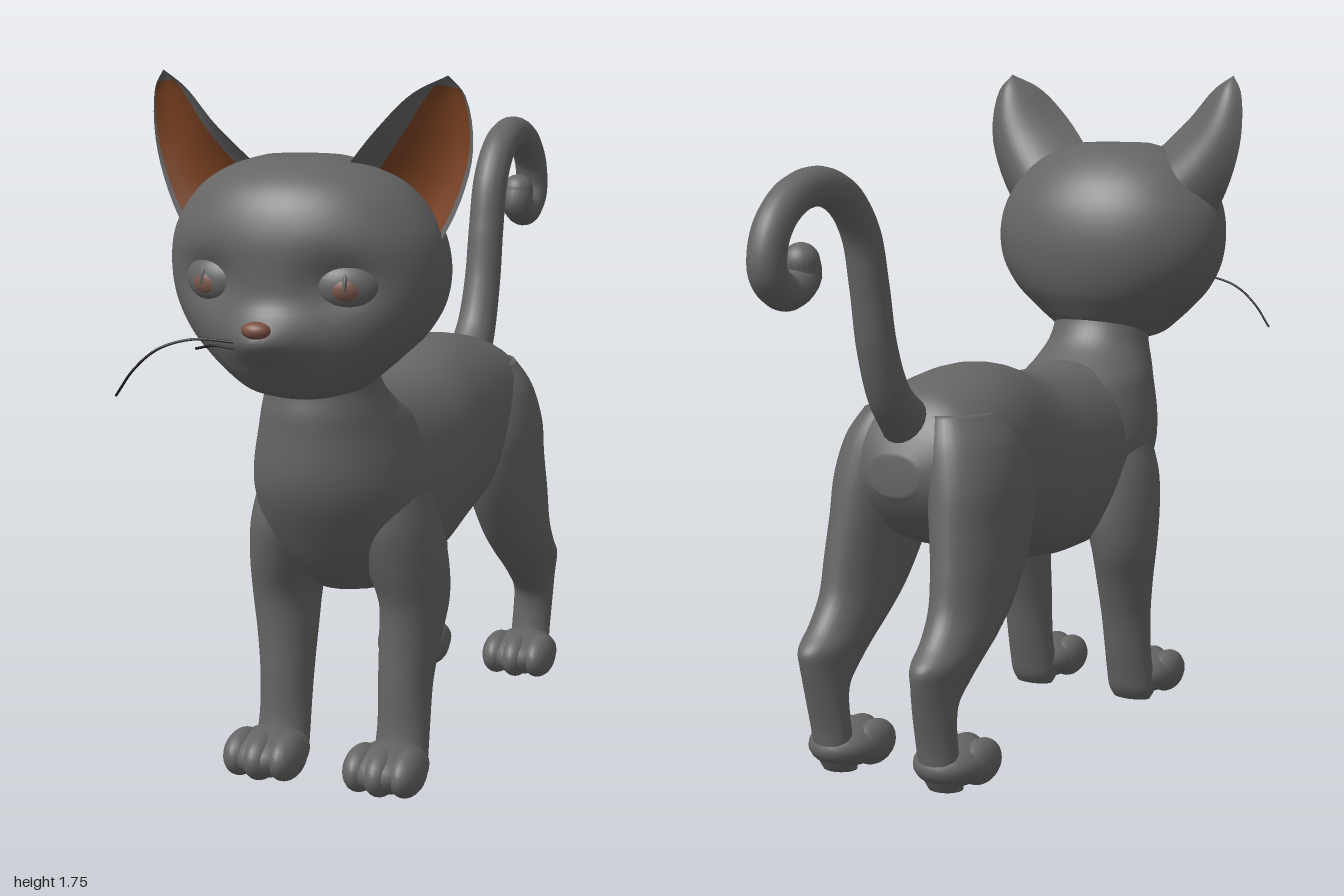
import * as THREE from 'three';

const mat = (name, color, side = THREE.FrontSide) => {
  const m = new THREE.MeshStandardMaterial({ color, side });
  m.name = name;
  return m;
};

// Builds an indexed smooth geometry from flat positions and indices
function build(positions, index) {
  const g = new THREE.BufferGeometry();
  g.setAttribute('position', new THREE.Float32BufferAttribute(positions, 3));
  g.setIndex(index);
  g.computeVertexNormals();
  return g;
}

// Smooth interpolation through rows of numbers
function smoothRows(rows, steps) {
  const out = [], last = rows.length - 1;
  for (let i = 0; i < last; i++) {
    const [a, b, c, d] = [rows[Math.max(i - 1, 0)], rows[i], rows[i + 1], rows[Math.min(i + 2, last)]];
    for (let s = 0; s < steps; s++) {
      const t = s / steps;
      out.push(b.map((v, k) => v + 0.5 * t * (c[k] - a[k] + t * (2 * a[k] - 5 * v + 4 * c[k] - d[k]
        + t * (3 * (v - c[k]) + d[k] - a[k])))));
    }
  }
  out.push(rows[last]);
  return out;
}

// Loft of rounded slices. Each slice: [position, x centre, x radius, low, high].
// Along y (ascending) low/high are z; along z (descending) they are y.
function loft(slices, { alongZ = false, power = 2, sides = 40, warp } = {}) {
  const rows = smoothRows(slices, 6), pos = [], index = [];
  const add = (s, x, h) => {
    const p = alongZ ? new THREE.Vector3(x, h, s) : new THREE.Vector3(x, s, h);
    if (warp) warp(p);
    pos.push(p.x, p.y, p.z);
  };
  const round = v => Math.sign(v) * Math.abs(v) ** (2 / power);
  for (const [s, xc, rx, lo, hi] of rows)
    for (let j = 0; j < sides; j++) {
      const a = j / sides * Math.PI * 2;
      add(s, xc + rx * round(Math.cos(a)), (lo + hi) / 2 + (hi - lo) / 2 * round(Math.sin(a)));
    }
  const n = rows.length;
  for (const r of [rows[0], rows[n - 1]]) add(r[0], r[1], (r[3] + r[4]) / 2);
  for (let j = 0; j < sides; j++) {
    const k = (j + 1) % sides;
    for (let i = 0; i < n - 1; i++) {
      const a = i * sides + j, b = i * sides + k;
      index.push(a, a + sides, b, b, a + sides, b + sides);
    }
    index.push(n * sides, j, k, n * sides + 1, (n - 1) * sides + k, (n - 1) * sides + j);
  }
  return build(pos, index);
}

// Surface patch from a function of u and v
function patch(fn, [u0, u1], [v0, v1], flip, n = 16) {
  const pos = [], index = [];
  for (let i = 0; i <= n; i++)
    for (let j = 0; j <= n; j++) pos.push(...fn(u0 + (u1 - u0) * j / n, v0 + (v1 - v0) * i / n));
  for (let i = 0; i < n; i++)
    for (let j = 0; j < n; j++) {
      const a = i * (n + 1) + j, b = a + 1, c = a + n + 1, d = c + 1;
      index.push(...(flip ? [a, c, b, b, c, d] : [a, b, c, b, d, c]));
    }
  return build(pos, index);
}

const curve = pts => new THREE.CatmullRomCurve3(pts.map(p => new THREE.Vector3(...p)));

export function createModel() {
  const cat = new THREE.Group();
  cat.name = 'cat';
  const fur = mat('grey fur', 0x656566);
  const innerEar = mat('inner ear brown', 0x7d4322);
  const irisMat = mat('iris brown', 0x7c5a4e);
  const noseMat = mat('nose brown', 0x7a5042);
  const whiskerMat = mat('whisker black', 0x1c1c1c);

  const add = (name, geometry, material = fur, parent = cat) => {
    const m = new THREE.Mesh(geometry, material);
    m.name = name;
    parent.add(m);
    return m;
  };
  const blob = (name, [x, y, z], [rx, ry, rz], material, parent) => {
    const m = add(name, new THREE.SphereGeometry(1, 24, 16), material, parent);
    m.position.set(x, y, z);
    m.scale.set(rx, ry, rz);
    return m;
  };

  // Torso, chest to rump
  add('torso', loft([
    [0.62, 0, 0.12, 0.62, 0.85], [0.55, 0, 0.175, 0.53, 0.93], [0.45, 0, 0.195, 0.46, 0.965],
    [0.3, 0, 0.2, 0.445, 0.957], [0.15, 0, 0.2, 0.455, 0.965], [0, 0, 0.2, 0.49, 1.005],
    [-0.12, 0, 0.21, 0.53, 1.013], [-0.25, 0, 0.215, 0.56, 0.995], [-0.35, 0, 0.2, 0.6, 0.965],
    [-0.41, 0, 0.16, 0.66, 0.9], [-0.45, 0, 0.07, 0.72, 0.82],
  ], { alongZ: true, power: 2.2 }));

  // Chest and neck
  add('neck', loft([
    [0.48, 0, 0.08, 0.38, 0.53], [0.54, 0, 0.14, 0.33, 0.6], [0.62, 0, 0.19, 0.28, 0.66],
    [0.72, 0, 0.21, 0.25, 0.72], [0.8, 0, 0.205, 0.25, 0.745], [0.9, 0, 0.18, 0.3, 0.748],
    [0.95, 0, 0.16, 0.38, 0.748], [1.0, 0, 0.142, 0.45, 0.74], [1.05, 0, 0.135, 0.485, 0.74],
    [1.1, 0, 0.13, 0.5, 0.72],
  ]));

  // Head with muzzle swelling and eye sockets
  const bump = (x, y, sx, sy) => Math.exp(-((x / sx) ** 2) - (y / sy) ** 2);
  add('head', loft([
    [1.0, 0, 0.08, 0.62, 0.78], [1.02, 0, 0.14, 0.55, 0.84], [1.06, 0, 0.19, 0.5, 0.885],
    [1.1, 0, 0.235, 0.47, 0.905], [1.15, 0, 0.285, 0.44, 0.915], [1.22, 0, 0.325, 0.42, 0.92],
    [1.3, 0, 0.338, 0.415, 0.925], [1.38, 0, 0.325, 0.43, 0.925], [1.45, 0, 0.285, 0.465, 0.905],
    [1.5, 0, 0.235, 0.51, 0.87], [1.535, 0, 0.17, 0.56, 0.82], [1.555, 0, 0.1, 0.62, 0.77],
  ], {
    sides: 96, warp: p => {
      if (p.z < 0.7) return;
      const front = Math.min((p.z - 0.7) / 0.12, 1);
      p.z += front * (0.07 * bump(p.x, p.y - 1.16, 0.09, 0.055)
        - 0.035 * bump(Math.abs(p.x) - 0.165, p.y - 1.285, 0.08, 0.06));
    },
  }));
  blob('nose', [0, 1.19, 0.975], [0.035, 0.02, 0.024], noseMat);

  // Tail with a curled tip, thicker at the root
  const tailPath = curve([
    [0, 0.87, -0.36], [0, 0.97, -0.46], [0, 1.1, -0.515], [0, 1.25, -0.545], [0, 1.38, -0.58],
    [0, 1.465, -0.65], [0, 1.5, -0.75], [0, 1.475, -0.86], [0, 1.4, -0.935], [0, 1.31, -0.945],
    [0, 1.265, -0.88], [0, 1.295, -0.815], [0, 1.33, -0.82],
  ]);
  const tail = new THREE.TubeGeometry(tailPath, 120, 0.05, 20);
  const tp = tail.attributes.position, v = new THREE.Vector3();
  for (let i = 0; i < tp.count; i++) {
    const t = Math.floor(i / 21) / 120, c = tailPath.getPointAt(t);
    v.fromBufferAttribute(tp, i).sub(c).multiplyScalar(1 + 0.5 * Math.exp(-t * 14) - 0.1 * t).add(c);
    tp.setXYZ(i, v.x, v.y, v.z);
  }
  add('tail', tail);
  blob('tailTip', [0, 1.33, -0.82], [0.045, 0.045, 0.045], fur);

  const frontLeg = [
    [0, 0.16, 0.055, 0.485, 0.55], [0.03, 0.16, 0.068, 0.465, 0.57], [0.08, 0.16, 0.068, 0.45, 0.56],
    [0.15, 0.16, 0.066, 0.43, 0.55], [0.25, 0.16, 0.068, 0.405, 0.55], [0.35, 0.165, 0.075, 0.37, 0.55],
    [0.45, 0.17, 0.083, 0.33, 0.56], [0.55, 0.155, 0.095, 0.315, 0.595], [0.65, 0.135, 0.1, 0.33, 0.62],
    [0.75, 0.115, 0.09, 0.37, 0.61],
  ];
  const hindLeg = [
    [0, 0.16, 0.045, -0.5, -0.42], [0.05, 0.16, 0.055, -0.53, -0.43], [0.12, 0.16, 0.055, -0.545, -0.455],
    [0.22, 0.163, 0.055, -0.575, -0.45], [0.28, 0.166, 0.06, -0.593, -0.385], [0.33, 0.168, 0.068, -0.597, -0.32],
    [0.38, 0.168, 0.075, -0.545, -0.26], [0.45, 0.165, 0.083, -0.5, -0.19], [0.55, 0.16, 0.092, -0.48, -0.12],
    [0.65, 0.15, 0.1, -0.465, -0.08], [0.75, 0.14, 0.108, -0.45, -0.08], [0.85, 0.12, 0.1, -0.425, -0.11],
    [0.92, 0.1, 0.07, -0.39, -0.16],
  ];

  for (const side of [1, -1]) {
    const label = side > 0 ? 'left' : 'right';

    // Legs and paws
    for (const [name, slices, z] of [['FrontLeg', frontLeg, 0.585], ['HindLeg', hindLeg, -0.425]]) {
      const leg = new THREE.Group();
      leg.name = label + name;
      cat.add(leg);
      add('leg', loft(slices.map(([y, x, ...r]) => [y, x * side, ...r])), fur, leg);
      blob('paw', [0.16 * side, 0.062, z], [0.095, 0.06, 0.115], fur, leg);
      for (const dx of [-0.06, 0, 0.06])
        blob('toe', [0.16 * side + dx, 0.062, z + 0.045 - Math.abs(dx) * 0.25], [0.042, 0.058, 0.078], fur, leg);
    }

    // Ear: cupped shell between an inner and an outer edge
    const ear = new THREE.Group();
    ear.name = label + 'Ear';
    cat.add(ear);
    const inner = curve([[0.1, 1.52, 0.72], [0.2, 1.625, 0.755], [0.28, 1.705, 0.74], [0.355, 1.745, 0.71]]);
    const outer = curve([[0.3, 1.32, 0.68], [0.37, 1.46, 0.67], [0.4, 1.58, 0.67], [0.388, 1.7, 0.69], [0.355, 1.745, 0.71]]);
    const earPoint = (depth, lift) => (u, t) => {
      const p = inner.getPoint(t).lerp(outer.getPoint(t), u);
      const cup = 4 * u * (1 - u) * depth * (1 - t) ** 0.8;
      return [side * p.x, p.y, p.z - cup + lift];
    };
    add('earBack', patch(earPoint(0.12, 0), [0, 1], [0, 1], side > 0), fur, ear);
    add('earFront', patch(earPoint(0.07, 0), [0, 1], [0, 1], side < 0), fur, ear);
    add('earLining', patch(earPoint(0.07, 0.005), [0.2, 0.95], [0, 0.82], side < 0), innerEar, ear);

    // Eye: lids, iris and slit
    const eye = new THREE.Group();
    eye.name = label + 'Eye';
    eye.position.set(0.163 * side, 1.282, 0.842);
    eye.rotation.y = 0.3 * side;
    cat.add(eye);
    blob('eyeball', [0, 0, 0], [0.078, 0.056, 0.045], fur, eye);
    blob('iris', [0, -0.004, 0.012], [0.05, 0.038, 0.036], irisMat, eye);
    blob('pupil', [0, 0.004, 0.016], [0.01, 0.034, 0.035], fur, eye);
  }

  // Whiskers on the right cheek
  const whiskers = [
    [[-0.07, 1.155, 0.945], [-0.16, 1.16, 0.97], [-0.24, 1.135, 0.985], [-0.3, 1.085, 0.99], [-0.35, 1.02, 0.985]],
    [[-0.07, 1.14, 0.94], [-0.13, 1.14, 0.925], [-0.19, 1.125, 0.895]],
  ];
  for (const pts of whiskers) add('whisker', new THREE.TubeGeometry(curve(pts), 24, 0.003, 6), whiskerMat);

  return cat;
}
